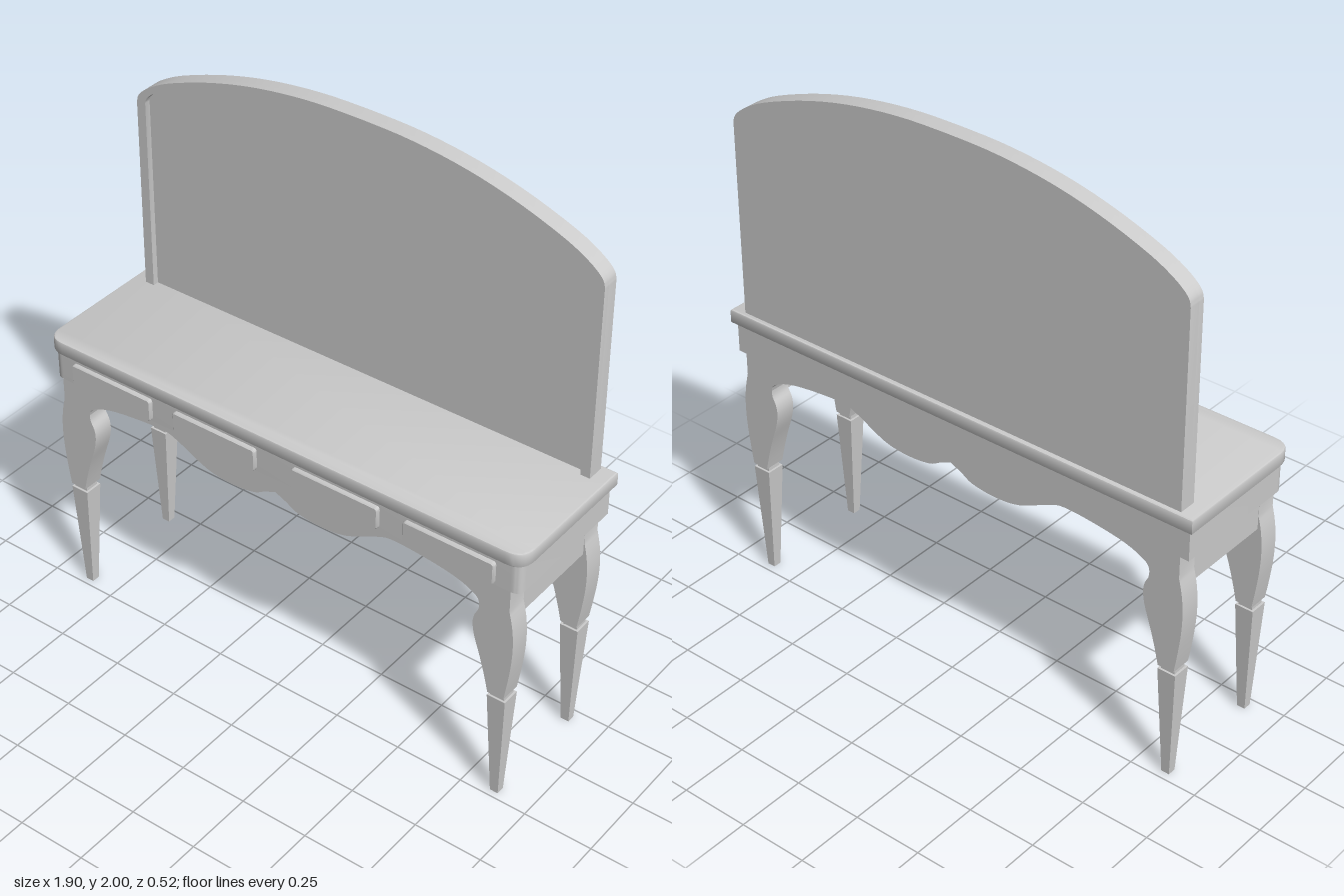
import * as THREE from 'three';
import { toCreasedNormals } from 'three/addons/utils/BufferGeometryUtils.js';

const material = new THREE.MeshStandardMaterial({ color: 0xcccccc });

export function createModel() {
  const model = new THREE.Group();

  function add(name, geometry, x = 0, y = 0, z = 0) {
    const mesh = new THREE.Mesh(toCreasedNormals(geometry, 0.5), material);
    mesh.name = name;
    mesh.position.set(x, y, z);
    model.add(mesh);
    return mesh;
  }

  // Front-facing outline extruded from z0 to z1
  function slab(name, shape, z0, z1) {
    const g = new THREE.ExtrudeGeometry(shape, { depth: z1 - z0, bevelEnabled: false, curveSegments: 8 });
    return add(name, g, 0, 0, z0);
  }

  // Horizontal board with rounded front corners, optionally softened edges
  function board(name, hx, zBack, zFront, r, y0, y1, bevel) {
    const x = hx - bevel, b = zBack + bevel, f = zFront - bevel;
    const s = new THREE.Shape();
    s.moveTo(-x, -b);
    s.lineTo(-x, -f + r);
    s.quadraticCurveTo(-x, -f, -x + r, -f);
    s.lineTo(x - r, -f);
    s.quadraticCurveTo(x, -f, x, -f + r);
    s.lineTo(x, -b);
    const g = new THREE.ExtrudeGeometry(s, {
      depth: y1 - y0 - 2 * bevel, curveSegments: 8,
      bevelEnabled: bevel > 0, bevelSize: bevel, bevelThickness: bevel, bevelSegments: 2,
    });
    g.rotateX(-Math.PI / 2);
    add(name, g, 0, y0 + bevel, 0);
  }

  const mirrorPoints = (half) => half.concat(
    half.filter(([x]) => x !== 0).reverse().map(([x, y]) => [-x, y]));
  const toShape = (pts) => new THREE.Shape(pts.map(([x, y]) => new THREE.Vector2(x, y)));
  const smooth = (pts, n) => new THREE.SplineCurve(pts.map(([x, y]) => new THREE.Vector2(x, y)))
    .getPoints(n).map((p) => [p.x, p.y]);

  board('tabletop', 0.948, -0.26, 0.265, 0.06, 0.99, 1.042, 0.006);
  board('drawerCase', 0.932, -0.245, 0.25, 0.035, 0.88, 0.99, 0);

  // Scalloped apron running the full depth
  const wave = smooth([[-0.79, 0.775], [-0.775, 0.805], [-0.7, 0.837], [-0.58, 0.856], [-0.46, 0.863],
    [-0.4, 0.846], [-0.28, 0.79], [-0.18, 0.777], [-0.09, 0.787], [-0.045, 0.81], [0, 0.83]], 40);
  slab('apron', toShape([[-0.79, 0.88], ...mirrorPoints(wave), [0.79, 0.88]]), -0.245, 0.25);

  // Arched mirror: full backing plate plus a slim raised frame
  const arch = [[-0.895, 1.745], [-0.89, 1.768], [-0.873, 1.79], [-0.83, 1.822], [-0.75, 1.863],
    [-0.6, 1.917], [-0.45, 1.957], [-0.3, 1.983], [-0.15, 1.997], [0, 2]];
  const inner = [[-0.86, 1.752], [-0.852, 1.772], [-0.82, 1.802], [-0.74, 1.849],
    [-0.6, 1.904], [-0.45, 1.946], [-0.3, 1.974], [-0.15, 1.99], [0, 1.994]];
  const outline = mirrorPoints(smooth(arch, 27));
  const opening = mirrorPoints(smooth(inner, 27));
  slab('mirrorPanel', toShape([[-0.895, 1.035], ...outline, [0.895, 1.035]]), -0.243, -0.202);
  slab('mirrorFrame', toShape([[-0.895, 1.035], ...outline, [0.895, 1.035],
    [0.86, 1.035], ...opening.reverse(), [-0.86, 1.035]]), -0.202, -0.18);

  // Drawer fronts with rounded corners
  for (const x of [-0.675, -0.242, 0.242, 0.675]) {
    const w = 0.165, y0 = 0.89, y1 = 0.966, r = 0.008;
    const s = new THREE.Shape();
    s.moveTo(x - w + r, y0);
    s.lineTo(x + w - r, y0);
    s.quadraticCurveTo(x + w, y0, x + w, y0 + r);
    s.lineTo(x + w, y1 - r);
    s.quadraticCurveTo(x + w, y1, x + w - r, y1);
    s.lineTo(x - w + r, y1);
    s.quadraticCurveTo(x - w, y1, x - w, y1 - r);
    s.lineTo(x - w, y0 + r);
    s.quadraticCurveTo(x - w, y0, x - w + r, y0);
    const g = new THREE.ExtrudeGeometry(s, {
      depth: 0.014, curveSegments: 4, bevelEnabled: true,
      bevelSize: 0.004, bevelThickness: 0.004, bevelSegments: 1,
    });
    add('drawerFront', g, 0, 0, 0.247);
  }

  // Legs: curved upper block, narrow neck, tapered square foot
  const outerEdge = smooth([[0.9, 0.8], [0.913, 0.74], [0.919, 0.67], [0.916, 0.59], [0.905, 0.5], [0.895, 0.437]], 16);
  const innerEdge = smooth([[0.835, 0.437], [0.82, 0.5], [0.8, 0.57], [0.777, 0.64], [0.769, 0.69],
    [0.774, 0.725], [0.788, 0.755], [0.79, 0.79]], 18);
  const legOutline = [[0.9, 0.88], ...outerEdge, ...innerEdge, [0.79, 0.88]];
  const squareTaper = (top, bottom, h) =>
    new THREE.CylinderGeometry(top * Math.SQRT2, bottom * Math.SQRT2, h, 4).rotateY(Math.PI / 4);

  for (const side of [-1, 1]) {
    const shape = toShape(legOutline.map(([x, y]) => [x * side, y]));
    for (const [z0, z1] of [[0.173, 0.25], [-0.245, -0.168]]) {
      const z = (z0 + z1) / 2;
      slab('legUpper', shape, z0, z1);
      add('legNeck', squareTaper(0.026, 0.026, 0.03), side * 0.865, 0.43, z);
      add('legFoot', squareTaper(0.034, 0.015, 0.42), side * 0.865, 0.21, z);
    }
    // Side rail between front and back legs
    add('sideRail', new THREE.BoxGeometry(0.108, 0.13, 0.341), side * 0.845, 0.815, 0.0025);
  }

  return model;
}
